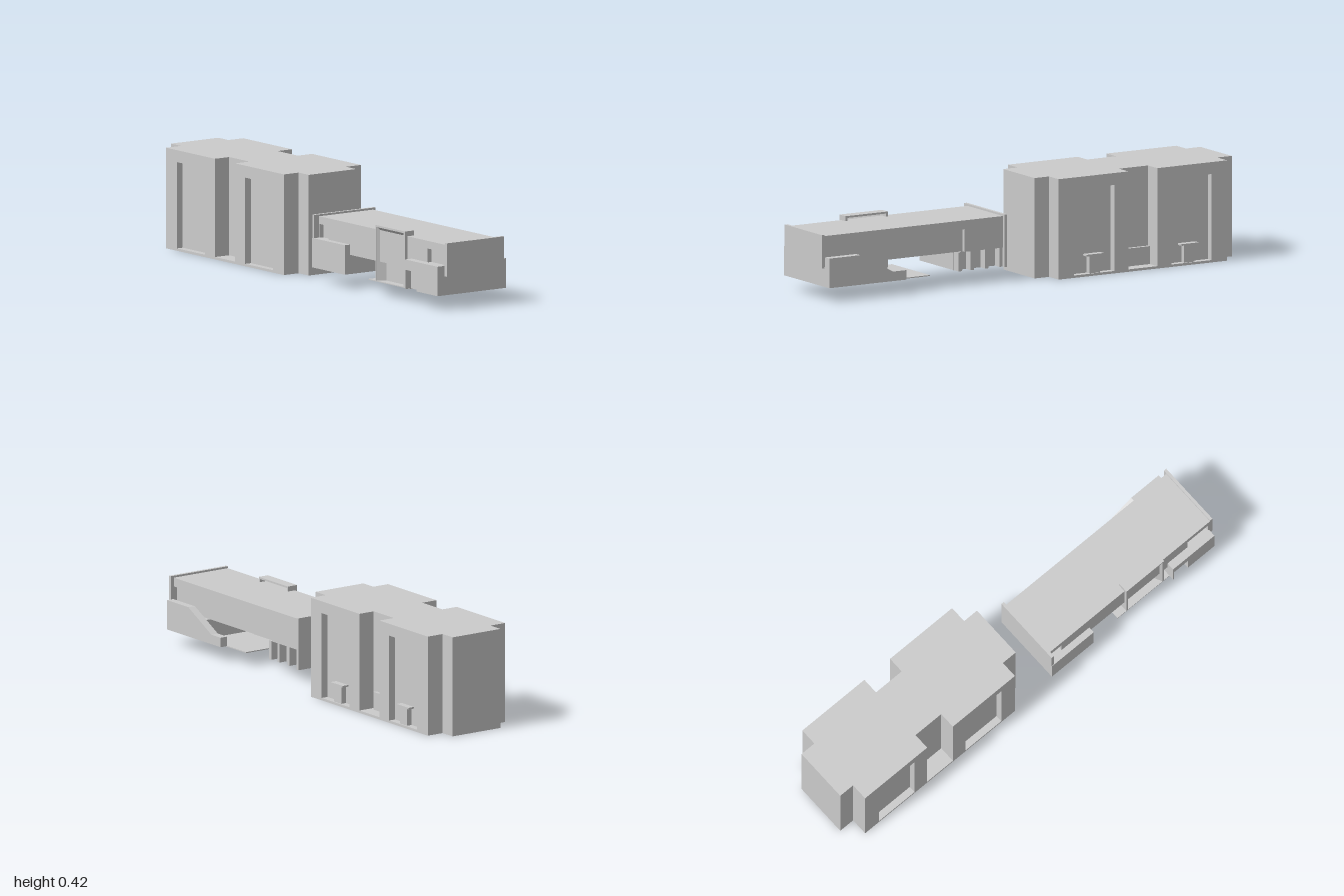
import * as THREE from 'three';

const grey = new THREE.MeshStandardMaterial({ color: 0xcccccc, side: THREE.DoubleSide, flatShading: true });

function add(group, name, geometry) {
  const mesh = new THREE.Mesh(geometry, grey);
  mesh.name = name;
  group.add(mesh);
  return mesh;
}

// Box given by its limits on each axis
function box(group, name, x0, x1, y0, y1, z0, z1) {
  const mesh = add(group, name, new THREE.BoxGeometry(x1 - x0, y1 - y0, z1 - z0));
  mesh.position.set((x0 + x1) / 2, (y0 + y1) / 2, (z0 + z1) / 2);
  return mesh;
}

const toShape = pts => new THREE.Shape(pts.map(p => new THREE.Vector2(p[0], p[1])));

function rectHole(x0, x1, y0, y1) {
  return new THREE.Path([[x0, y0], [x1, y0], [x1, y1], [x0, y1]].map(p => new THREE.Vector2(p[0], p[1])));
}

// Upright wall: outline in x and y, thickness from z0 to z1
function wall(group, name, shape, z0, z1) {
  const mesh = add(group, name, new THREE.ExtrudeGeometry(shape, { depth: z1 - z0, bevelEnabled: false }));
  mesh.position.z = z0;
  return mesh;
}

// Storey: one quarter of the plan mirrored to all four corners, raised from y0 to y1
function storey(group, name, quarter, y0, y1) {
  const left = quarter.slice().reverse().map(([x, z]) => [-x, z]);
  const half = [...quarter, ...left];
  const plan = [...half, ...half.slice().reverse().map(([x, z]) => [x, -z])];
  const geometry = new THREE.ExtrudeGeometry(toShape(plan), { depth: y1 - y0, bevelEnabled: false });
  geometry.rotateX(-Math.PI / 2);
  add(group, name, geometry).position.y = y0;
}

function tallBlock() {
  const g = new THREE.Group();
  g.name = 'tallBuilding';
  const corner = [[0.4785, 0.1215], [0.4085, 0.1215], [0.4085, 0.197]];
  const bay = [[0.334, 0.197], [0.334, 0.167], [0.139, 0.167], [0.139, 0.197]];
  const notch = [[0.07, 0.197], [0.07, 0.124]];
  storey(g, 'baseSlab', corner, 0, 0.01);
  storey(g, 'windowStorey', [...corner, ...bay, ...notch], 0.01, 0.37);
  storey(g, 'upperWalls', [...corner, ...notch], 0.37, 0.42);
  // Rear entrances inside the window recesses
  for (const x of [-0.23, 0.23]) {
    box(g, 'rearEntrance', x - 0.025, x + 0.025, 0.01, 0.085, -0.19, -0.165);
    box(g, 'entranceCanopy', x - 0.042, x + 0.042, 0.083, 0.09, -0.196, -0.165);
  }
  box(g, 'rearNotchBox', -0.07, 0.05, 0.01, 0.085, -0.14, -0.123);
  return g;
}

function lowBlock() {
  const g = new THREE.Group();
  g.name = 'lowBuilding';

  // Raised upper floor with shallow openings at front and back
  box(g, 'upperFloor', -0.44, 0.44, 0.14, 0.272, -0.122, 0.117);
  const front = toShape([[-0.44, 0.14], [0.44, 0.14], [0.44, 0.272], [-0.44, 0.272]]);
  front.holes.push(rectHole(-0.436, -0.373, 0.182, 0.24), rectHole(0.315, 0.426, 0.182, 0.24));
  wall(g, 'frontWall', front, 0.117, 0.137);
  box(g, 'rearFascia', -0.44, 0.44, 0.235, 0.272, -0.138, -0.122);
  box(g, 'rearWall', -0.44, -0.25, 0.14, 0.235, -0.138, -0.122);

  // End walls standing slightly above the roof
  box(g, 'leftEndWall', 0.437, 0.45, 0.14, 0.28, -0.153, 0.137);
  box(g, 'rightEndWall', -0.45, -0.437, 0.06, 0.28, -0.151, 0.163);

  // Ground floor and projecting front boxes
  box(g, 'rightGroundFloor', -0.44, -0.222, 0.06, 0.14, -0.1, 0.137);
  box(g, 'rightFrontBox', -0.45, -0.222, 0.06, 0.183, 0.13, 0.165);
  box(g, 'leftGroundFloor', 0.205, 0.4305, 0.06, 0.14, -0.145, 0.145);
  const doorFront = toShape([[0.285, 0.06], [0.4305, 0.06], [0.4305, 0.183], [0.205, 0.183],
    [0.205, 0.06], [0.21, 0.06], [0.21, 0.14], [0.285, 0.14]]);
  wall(g, 'leftFrontBox', doorFront, 0.137, 0.172);
  for (const x of [-0.43, -0.36, -0.29, -0.232]) box(g, 'rearPost', x - 0.008, x + 0.008, 0.06, 0.14, -0.135, -0.1);

  // Stepped ramp wall along the back
  const ramp = toShape([[0.055, 0.06], [0.4305, 0.06], [0.4305, 0.184], [0.28, 0.184], [0.12, 0.1], [0.055, 0.1]]);
  wall(g, 'rampWall', ramp, -0.178, -0.145);

  // Entrance portal with splayed reveals
  box(g, 'entranceFloor', -0.078, 0.21, 0.057, 0.061, -0.145, 0.149);
  box(g, 'vestibule', 0, 0.15, 0.06, 0.25, 0.06, 0.115);
  const frame = toShape([[-0.03, 0.06], [-0.022, 0.06], [-0.022, 0.285], [0.167, 0.285],
    [0.167, 0.06], [0.175, 0.06], [0.175, 0.293], [-0.03, 0.293]]);
  wall(g, 'portalFrame', frame, 0.104, 0.15);
  const outer = [[-0.022, 0.06], [-0.022, 0.285], [0.167, 0.285], [0.167, 0.06]];
  const inner = [[0, 0.06], [0, 0.25], [0.15, 0.25], [0.15, 0.06]];
  const position = [];
  const index = [];
  outer.forEach((p, i) => {
    position.push(...p, 0.148, ...inner[i], 0.115);
    if (i < 3) index.push(2 * i, 2 * i + 2, 2 * i + 1, 2 * i + 1, 2 * i + 2, 2 * i + 3);
  });
  const splay = new THREE.BufferGeometry();
  splay.setAttribute('position', new THREE.Float32BufferAttribute(position, 3));
  splay.setIndex(index);
  splay.computeVertexNormals();
  add(g, 'portalReveal', splay);
  return g;
}

export function createModel() {
  const model = new THREE.Group();
  model.name = 'buildingPair';
  const tall = tallBlock();
  tall.position.set(-0.51, 0, -0.09);
  const low = lowBlock();
  low.position.set(0.53, 0, 0.105);
  for (const b of [tall, low]) {
    b.rotation.y = -0.152;
    model.add(b);
  }
  return model;
}
